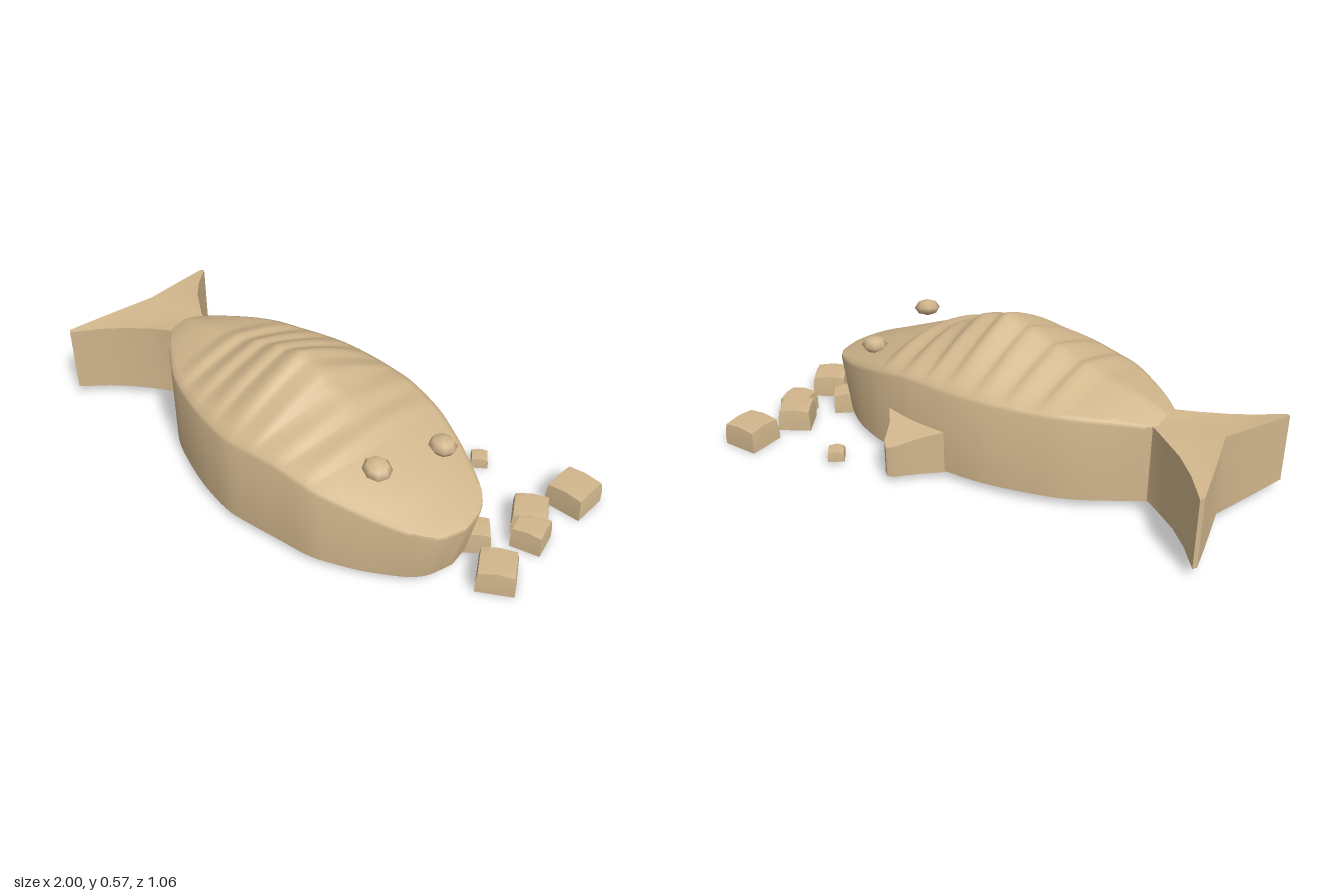
import * as THREE from 'three';
import { toCreasedNormals } from 'three/addons/utils/BufferGeometryUtils.js';

const clay = new THREE.MeshStandardMaterial({ color: 0xd2b78d, side: THREE.DoubleSide });
clay.name = 'tan clay';

// Body stations: x, centre z, half width, rim height, ridge height
const STATIONS = [
  [-0.68, 0.155, 0.075, 0.345, 0.365], [-0.6, 0.16, 0.135, 0.36, 0.395],
  [-0.5, 0.16, 0.205, 0.37, 0.42], [-0.4, 0.163, 0.263, 0.375, 0.435],
  [-0.3, 0.164, 0.3, 0.375, 0.455], [-0.2, 0.164, 0.33, 0.378, 0.487],
  [-0.1, 0.163, 0.352, 0.38, 0.52], [0.03, 0.163, 0.365, 0.38, 0.552],
  [0.15, 0.155, 0.357, 0.38, 0.515], [0.25, 0.148, 0.346, 0.375, 0.455],
  [0.4, 0.143, 0.322, 0.345, 0.395], [0.5, 0.135, 0.285, 0.315, 0.36],
  [0.6, 0.13, 0.24, 0.285, 0.325], [0.7, 0.128, 0.185, 0.26, 0.283],
  [0.75, 0.128, 0.147, 0.248, 0.262], [0.787, 0.13, 0.09, 0.238, 0.245],
  [0.807, 0.13, 0.0, 0.233, 0.234],
];

// Smooth interpolation between stations
function sample(x) {
  const last = STATIONS.length - 1;
  let i = 0;
  while (i < last - 1 && x > STATIONS[i + 1][0]) i++;
  const a = STATIONS[i], b = STATIONS[i + 1];
  const before = STATIONS[Math.max(i - 1, 0)], after = STATIONS[Math.min(i + 2, last)];
  const d = b[0] - a[0], t = THREE.MathUtils.clamp((x - a[0]) / d, 0, 1);
  return a.map((v, k) => {
    const m0 = ((b[k] - before[k]) / (b[0] - before[0])) * d;
    const m1 = ((after[k] - v) / (after[0] - a[0])) * d;
    const t2 = t * t, t3 = t2 * t;
    return v * (2 * t3 - 3 * t2 + 1) + m0 * (t3 - 2 * t2 + t) + b[k] * (3 * t2 - 2 * t3) + m1 * (t3 - t2);
  });
}

const baseY = (x) => 0.032 - 0.008 * x;
const undercut = (x) => 0.045 * THREE.MathUtils.smoothstep(x, 0.5, 0.8);

// Overlapping scale bands stepping across the back
function scaleStep(x, t) {
  const u = x + (x > 0.15 ? 0.03 * t * t : 0);
  if (u < -0.42 || u > 0.42) return 0;
  const f = ((u + 0.42) / 0.12) % 1;
  return 0.016 * Math.sin(Math.PI * Math.pow(f, 1.8)) * (1 - Math.pow(Math.abs(t), 4));
}

// Hollow shell: straight walls and a peaked roof, lofted along x
function bodyGeometry() {
  const N = 150, ROOF = 24, M = ROOF + 5, pos = [], idx = [];
  for (let i = 0; i <= N; i++) {
    // stations gather toward the blunt nose
    const x = -0.68 + 1.487 * (1 - Math.pow(1 - i / N, 1.3));
    const [, c, w, rim, ridge] = sample(x);
    const y0 = baseY(x), cut = undercut(x);
    const power = 1.2 + 0.8 * THREE.MathUtils.smoothstep(x, 0.2, 0.5);
    const wall = (side, k) => pos.push(x - cut * (1 - k), y0 + (rim - 0.015 - y0) * k, c + side * w);
    wall(-1, 0);
    wall(-1, 1);
    for (let j = 0; j <= ROOF; j++) {
      const t = (j / ROOF) * 2 - 1;
      const y = rim + (ridge - rim) * (1 - Math.pow(Math.abs(t), power)) + scaleStep(x, t);
      pos.push(x, y, c + t * w * 0.98);
    }
    wall(1, 1);
    wall(1, 0);
  }
  for (let i = 0; i < N; i++) {
    for (let j = 0; j < M - 1; j++) {
      const a = i * M + j, b = a + M;
      idx.push(a, a + 1, b, a + 1, b + 1, b);
    }
  }
  const g = new THREE.BufferGeometry();
  g.setAttribute('position', new THREE.Float32BufferAttribute(pos, 3));
  g.setIndex(idx);
  return toCreasedNormals(g, 1.0);
}

// Underside, lifting slightly toward a ragged opening into the hollow body
function undersideGeometry() {
  const near = [], far = [], hole = [];
  for (let i = 0; i <= 40; i++) {
    const x = -0.68 + 1.487 * (i / 40), [, c, w] = sample(x);
    near.push(new THREE.Vector2(x - undercut(x), c - w));
    if (i < 40) far.unshift(new THREE.Vector2(x - undercut(x), c + w));
  }
  for (let i = 0; i < 36; i++) {
    const a = (-i / 36) * Math.PI * 2;
    const r = i % 2 ? 1 : 0.78 + 0.12 * Math.sin(i * 2.3);
    hole.push(new THREE.Vector2(0.03 + 0.49 * r * Math.cos(a), 0.13 + 0.22 * r * Math.sin(a)));
  }
  const shape = new THREE.Shape([...near, ...far]);
  shape.holes.push(new THREE.Path(hole));
  const g = new THREE.ShapeGeometry(shape);
  g.rotateX(Math.PI / 2);
  const p = g.attributes.position;
  for (let i = 0; i < p.count; i++) {
    const x = p.getX(i), [, c, w] = sample(x + undercut(x));
    const inner = Math.abs(p.getZ(i) - c) < w * 0.9 && x < 0.6 ? 0.015 : 0;
    p.setY(i, baseY(x) + inner);
  }
  g.computeVertexNormals();
  return g;
}

// Upright slab from an x,z outline; topRule gives the height at each point
function slab(outline, y0, topRule) {
  const shape = new THREE.Shape(outline.map(([x, z]) => new THREE.Vector2(x, -z)));
  const g = new THREE.ExtrudeGeometry(shape, { depth: 1, bevelEnabled: false });
  g.rotateX(-Math.PI / 2);
  const p = g.attributes.position;
  for (let i = 0; i < p.count; i++) {
    p.setY(i, p.getY(i) > 0.5 ? topRule(p.getX(i), p.getZ(i)) : y0);
  }
  return toCreasedNormals(g, 0.6);
}

// Crumb with a slightly narrower, domed top
function crumbGeometry(size, height) {
  const g = new THREE.BoxGeometry(size, height, size, 2, 2, 2);
  const p = g.attributes.position;
  for (let i = 0; i < p.count; i++) {
    const top = p.getY(i) > height * 0.4;
    const corner = Math.abs(p.getX(i)) + Math.abs(p.getZ(i)) > size * 0.9;
    const k = top ? 0.93 : 1;
    p.setXYZ(i, p.getX(i) * k, p.getY(i) - (top && corner ? 0.008 : 0), p.getZ(i) * k);
  }
  return toCreasedNormals(g, 0.9);
}

export function createModel() {
  const model = new THREE.Group();
  model.name = 'fishCake';
  const add = (name, geometry, parent = model) => {
    const mesh = new THREE.Mesh(geometry, clay);
    mesh.name = name;
    parent.add(mesh);
    return mesh;
  };

  add('body', bodyGeometry());
  add('underside', undersideGeometry());

  // Forked tail
  add('tail', slab([
    [-0.65, 0.08], [-0.68, 0.07], [-0.76, 0.02], [-0.83, -0.025], [-0.91, -0.095], [-0.99, -0.185],
    [-1, -0.17], [-0.965, -0.04], [-0.91, 0.15], [-0.965, 0.36], [-1, 0.5],
    [-0.985, 0.51], [-0.9, 0.41], [-0.83, 0.345], [-0.75, 0.285], [-0.68, 0.24], [-0.65, 0.23],
  ], 0.04, (x, z) => 0.36 - Math.abs(z - 0.155) * 0.13));

  // Back fin
  add('fin', slab([
    [0.04, -0.19], [0.12, -0.27], [0.185, -0.345], [0.21, -0.355], [0.235, -0.335],
    [0.28, -0.25], [0.335, -0.19], [0.2, -0.17],
  ], 0.025, (x, z) => 0.205 + Math.min(0, z + 0.2) * 0.34));

  // Squashed beads: two eyes and one loose under the body
  const beads = [
    ['leftEye', 0.53, 0.412, 0.282, 0.2], ['rightEye', 0.555, 0.352, -0.022, 0],
    ['looseBead', 0.42, 0.045, -0.12, 0],
  ];
  for (const [name, x, y, z, tilt] of beads) {
    const bead = add(name, new THREE.SphereGeometry(0.052, 8, 4));
    bead.scale.set(1.05, 0.65, 0.95);
    bead.position.set(x, y, z);
    bead.rotation.set(tilt, 0, -tilt);
  }

  // Loose crumbs by the head: x, z, size, height, turn, lift
  const crumbs = new THREE.Group();
  crumbs.name = 'crumbs';
  model.add(crumbs);
  [
    [0.845, -0.455, 0.15, 0.095, 0.06, 0], [0.805, -0.245, 0.13, 0.092, 0.6, 0],
    [0.865, -0.175, 0.115, 0.088, 0.3, 0], [0.9, 0.058, 0.138, 0.092, 0.6, 0],
    [0.735, -0.025, 0.1, 0.088, 0.75, 0], [0.47, -0.36, 0.065, 0.045, 0.7, 0.012],
  ].forEach(([x, z, size, height, turn, lift], i) => {
    const crumb = add('crumb' + (i + 1), crumbGeometry(size, height), crumbs);
    crumb.position.set(x, height / 2 + lift, z);
    crumb.rotation.y = turn;
  });

  return model;
}
